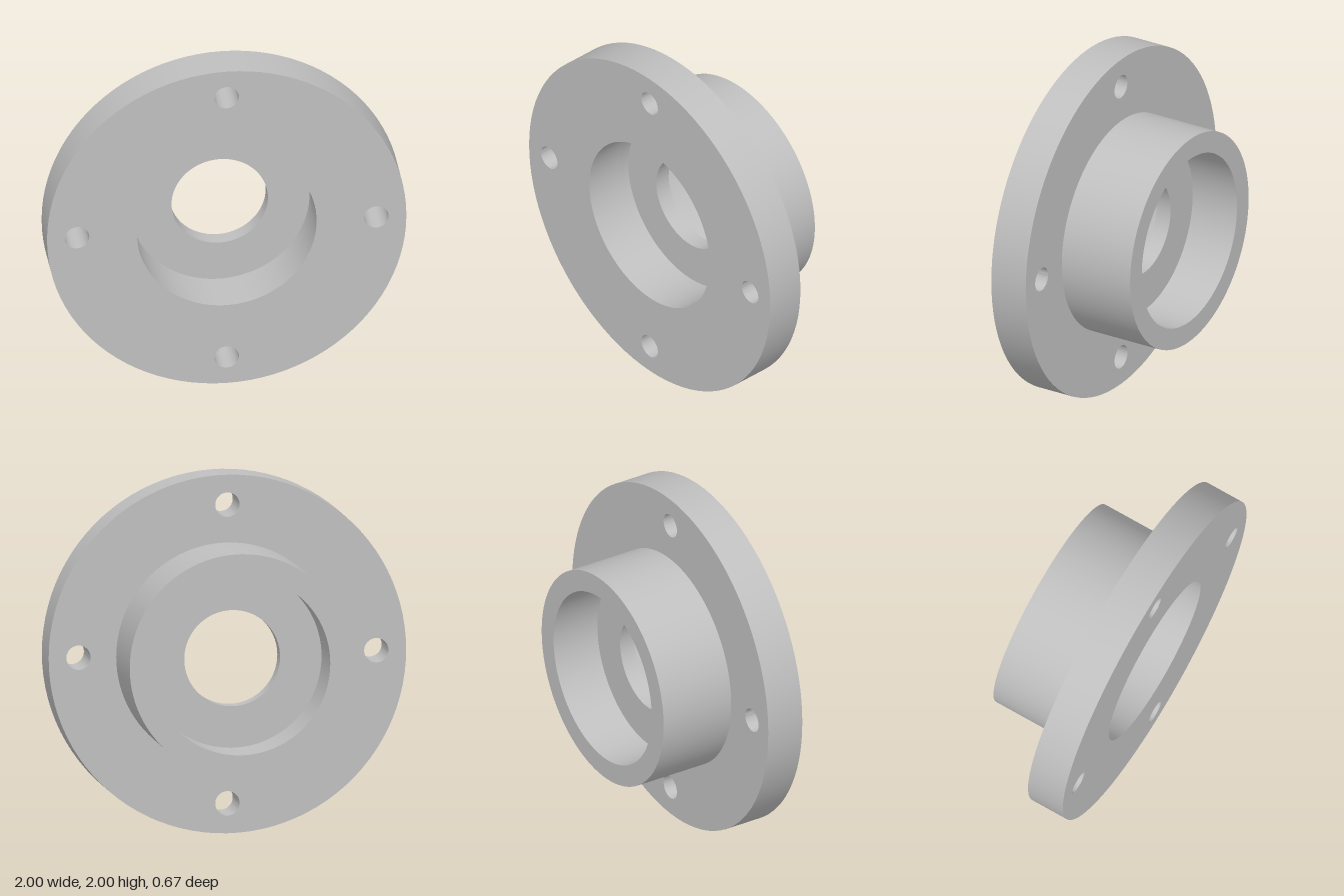
import * as THREE from 'three';
import { toCreasedNormals } from 'three/addons/utils/BufferGeometryUtils.js';

const SEGMENTS = 96;
const FLANGE_BACK = 0.11, FRONT = 0.333, BACK = -0.333;
const SEAT_R = 0.5, BORE_R = 0.268, HUB_R = 0.622, WEB = 0.046;

function circlePath(PathType, x, y, r) {
  const path = new PathType();
  path.absarc(x, y, r, 0, Math.PI * 2, false);
  return path;
}

export function createModel() {
  const group = new THREE.Group();
  group.name = 'flangedBearingHousing';
  const steel = new THREE.MeshStandardMaterial({ color: 0xbfbfbf });
  steel.name = 'plain grey';

  const addPart = (name, geometry) => {
    const mesh = new THREE.Mesh(toCreasedNormals(geometry, 0.6), steel);
    mesh.name = name;
    mesh.position.y = 1;
    group.add(mesh);
  };

  // Flange disc with the front seat opening and four bolt holes
  const disc = circlePath(THREE.Shape, 0, 0, 1);
  disc.holes.push(circlePath(THREE.Path, 0, 0, SEAT_R));
  for (let i = 0; i < 4; i++) {
    const a = (i * Math.PI) / 2;
    disc.holes.push(circlePath(THREE.Path, 0.833 * Math.cos(a), 0.833 * Math.sin(a), 0.068));
  }
  const flange = new THREE.ExtrudeGeometry(disc, {
    depth: FRONT - FLANGE_BACK, bevelEnabled: false, curveSegments: SEGMENTS / 2,
  });
  flange.translate(0, 0, FLANGE_BACK);
  addPart('flange', flange);

  // Hub tube with the rear seat and the thin bored web between the seats
  const profile = [
    [HUB_R, BACK], [HUB_R, FLANGE_BACK], [SEAT_R, FLANGE_BACK], [SEAT_R, WEB],
    [BORE_R, WEB], [BORE_R, -WEB], [SEAT_R, -WEB], [SEAT_R, BACK], [HUB_R, BACK],
  ].map(([r, z]) => new THREE.Vector2(r, z));
  const hub = new THREE.LatheGeometry(profile, SEGMENTS);
  hub.rotateX(Math.PI / 2);
  addPart('hub', hub);

  return group;
}
